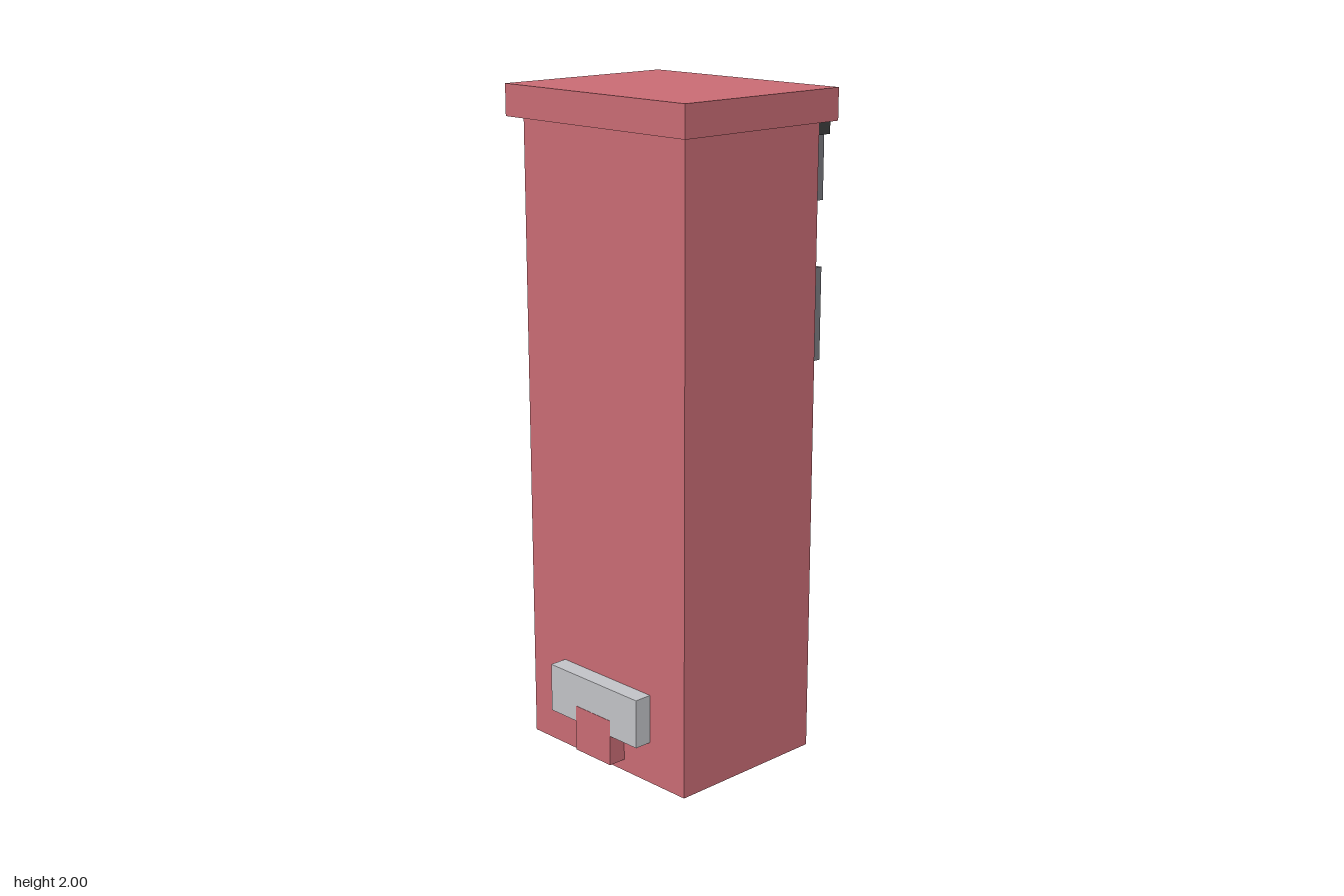
import * as THREE from 'three';

const material = (name, color) => {
  const m = new THREE.MeshStandardMaterial({ color });
  m.name = name;
  return m;
};

export function createModel() {
  const group = new THREE.Group();
  group.name = 'tower';
  const red = material('dusty red', 0xca6c75);
  const grey = material('mid grey', 0x7c7b82);
  const dark = material('charcoal', 0x3e3e3e);
  const light = material('light grey', 0xc3c4c8);

  // Adds a box given its extents along each axis
  const box = (name, mat, [x0, x1], [y0, y1], [z0, z1]) => {
    const mesh = new THREE.Mesh(new THREE.BoxGeometry(x1 - x0, y1 - y0, z1 - z0), mat);
    mesh.position.set((x0 + x1) / 2, (y0 + y1) / 2, (z0 + z1) / 2);
    mesh.name = name;
    group.add(mesh);
  };

  // Main column, lid and foot
  box('body', red, [-0.32, 0.32], [0.06, 1.91], [-0.245, 0.265]);
  box('lid', red, [-0.355, 0.355], [1.91, 2], [-0.283, 0.3]);
  box('foot', dark, [-0.073, 0.073], [0, 0.06], [-0.06, 0.085]);

  // Front plate with its tab
  box('frontPlate', light, [-0.182, 0.182], [0.185, 0.33], [0.265, 0.319]);
  box('frontTab', red, [-0.073, 0.073], [0.095, 0.233], [0.265, 0.32]);

  // Stack of panels on the back
  box('upperBackPanel', grey, [-0.273, 0.273], [1.68, 1.95], [-0.32, -0.245]);
  box('panelConnector', grey, [-0.168, 0.168], [1.49, 1.68], [-0.3, -0.245]);
  box('lowerBackPanel', grey, [-0.273, 0.273], [1.22, 1.49], [-0.32, -0.245]);
  box('darkBackPanel', dark, [-0.232, 0.232], [1.035, 1.22], [-0.31, -0.255]);
  box('backTab', grey, [-0.11, 0.11], [0.88, 1.1], [-0.3, -0.245]);
  box('cornerLatch', dark, [0.227, 0.318], [1.87, 1.97], [-0.293, -0.245]);

  return group;
}
